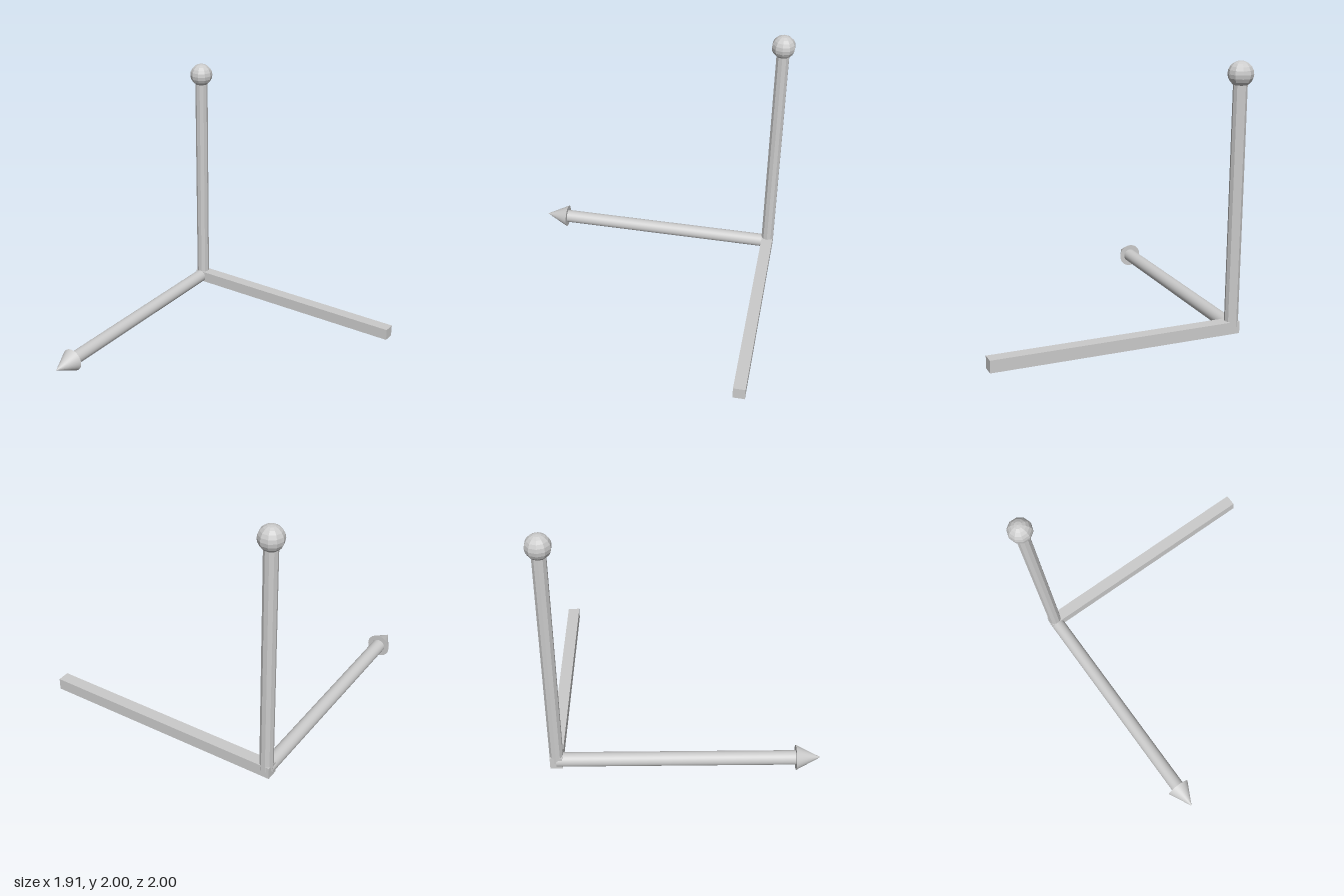
import * as THREE from 'three';

export function createModel() {
  const model = new THREE.Group();
  model.name = 'axisMarker';
  const smooth = new THREE.MeshStandardMaterial({ color: 0xcccccc });
  const faceted = new THREE.MeshStandardMaterial({ color: 0xcccccc, flatShading: true });

  // All three arms meet at this corner
  const corner = new THREE.Vector3(-0.865, 0.09, -0.914);
  const reach = 1.82;

  const add = (name, geometry, material, x, y, z) => {
    const mesh = new THREE.Mesh(geometry, material);
    mesh.name = name;
    mesh.position.set(x, y, z).add(corner);
    model.add(mesh);
  };

  // Square bar along x, starting half its thickness behind the corner
  const thick = 0.09;
  add('squareBar', new THREE.BoxGeometry(reach + thick / 2, thick, thick), faceted,
    (reach - thick / 2) / 2, 0, 0);

  // Ten-sided upright post with a ten-sided ball on top
  add('uprightPost', new THREE.CylinderGeometry(0.05, 0.05, reach, 10).rotateY(Math.PI / 2),
    faceted, 0, reach / 2, 0);
  add('ballTip', new THREE.SphereGeometry(0.09, 10, 10), faceted, 0, reach, 0);

  // Round rod along z ending in a cone
  const rod = 1.734, cone = 0.18;
  add('roundRod', new THREE.CylinderGeometry(0.052, 0.052, rod, 32).rotateX(Math.PI / 2),
    smooth, 0, 0, rod / 2);
  add('coneTip', new THREE.ConeGeometry(0.09, cone, 32).rotateX(Math.PI / 2),
    smooth, 0, 0, rod + cone / 2);

  return model;
}
